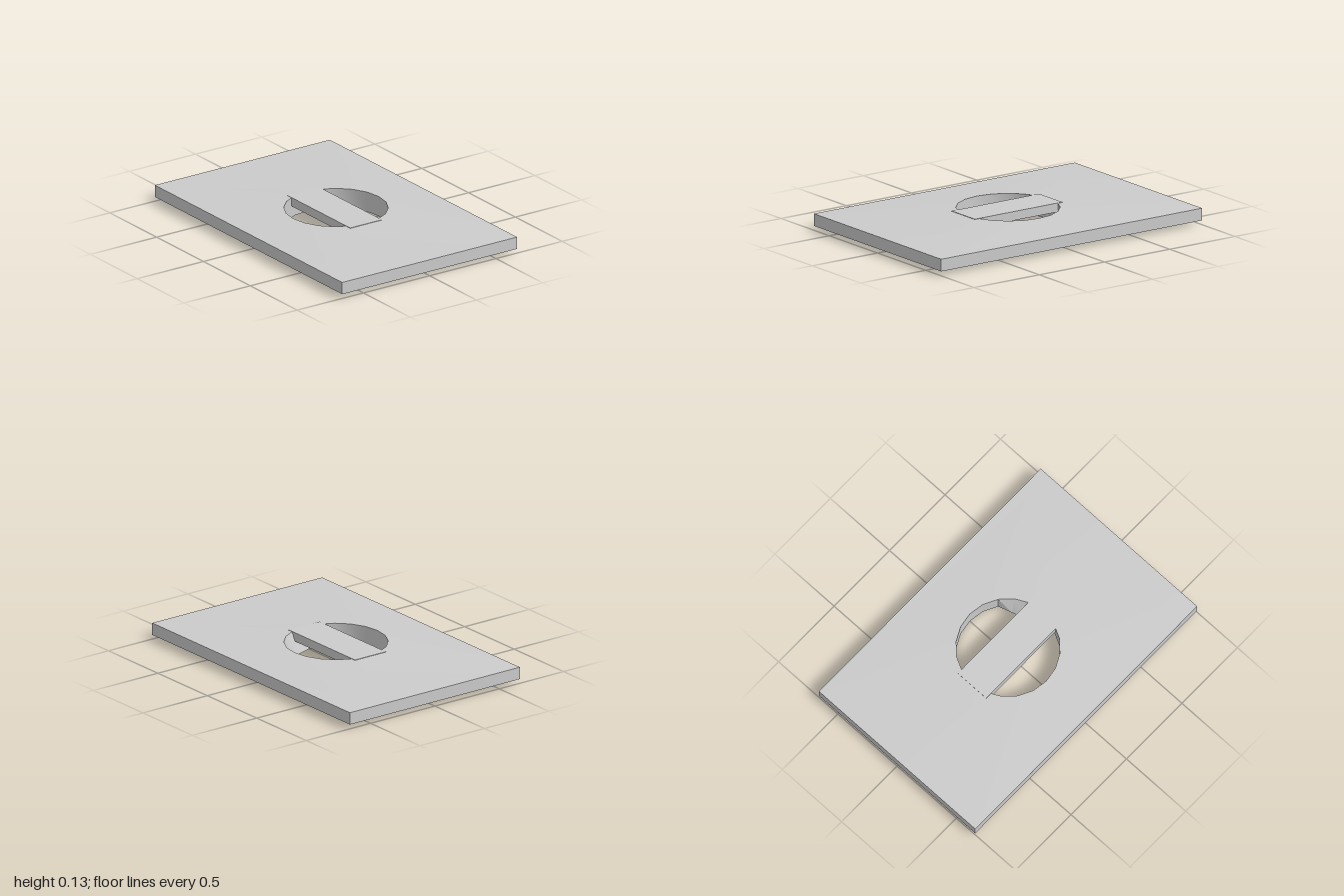
import * as THREE from 'three';
import { toCreasedNormals } from 'three/addons/utils/BufferGeometryUtils.js';

const SIDES = 20;      // facets of the round hole
const RADIUS = 0.322;
const HALF_X = 1, HALF_Z = 0.66;

// Rectangular plate, slightly thicker around a round through-hole
function plateGeometry() {
  const ring = (y) => Array.from({ length: SIDES }, (_, i) => {
    const a = (i / SIDES) * Math.PI * 2;
    return new THREE.Vector3(RADIUS * Math.cos(a), y, RADIUS * Math.sin(a));
  });
  const corners = (y) => [[1, 1], [-1, 1], [-1, -1], [1, -1]]
    .map(([sx, sz]) => new THREE.Vector3(sx * HALF_X, y, sz * HALF_Z));

  const topRing = ring(0.13), lowRing = ring(0);
  const topCorners = corners(0.106), lowCorners = corners(0.028);

  // The lower rim is cut straight across on one side
  const from = lowRing[SIDES - 3], to = lowRing[1];
  [SIDES - 2, SIDES - 1, 0].forEach((index, n) => {
    lowRing[index].lerpVectors(from, to, (n + 1) / 4);
  });

  const points = [];
  const tri = (...p) => points.push(...p);
  const quad = (a, b, c, d) => { tri(a, b, c); tri(a, c, d); };

  // Hole wall and the fans joining the rim to the nearest corner
  for (let i = 0; i < SIDES; i++) {
    const j = (i + 1) % SIDES, k = Math.floor(i / (SIDES / 4));
    quad(topRing[i], lowRing[i], lowRing[j], topRing[j]);
    tri(topCorners[k], topRing[i], topRing[j]);
    tri(lowCorners[k], lowRing[j], lowRing[i]);
  }
  // Outer edges and the wide triangles along each side
  for (let k = 0; k < 4; k++) {
    const p = (k + 3) % 4, i = k * SIDES / 4;
    quad(topCorners[p], topCorners[k], lowCorners[k], lowCorners[p]);
    tri(topCorners[k], topCorners[p], topRing[i]);
    tri(lowCorners[p], lowCorners[k], lowRing[i]);
  }
  return toCreasedNormals(new THREE.BufferGeometry().setFromPoints(points), 0.5);
}

export function createModel() {
  const group = new THREE.Group();
  const material = new THREE.MeshStandardMaterial({ color: 0xcccccc });

  const plate = new THREE.Mesh(plateGeometry(), material);
  plate.name = 'plate';

  // Flat bar bridging the hole, its ends set into the plate
  const bar = new THREE.Mesh(new THREE.BoxGeometry(0.67, 0.057, 0.24), material);
  bar.name = 'crossBar';
  bar.position.set(0, 0.1035, 0.01);

  group.add(plate, bar);
  return group;
}
